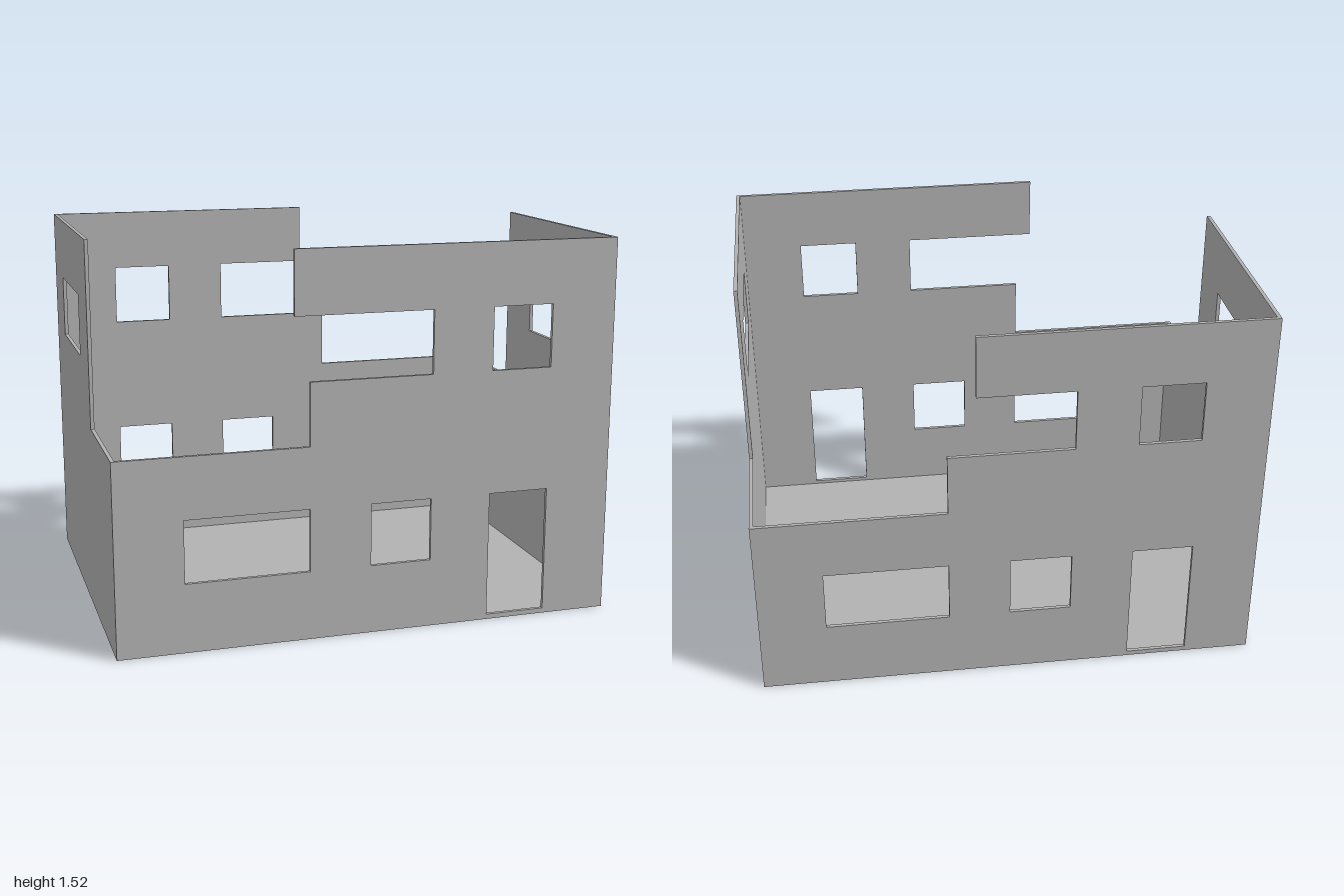
import * as THREE from 'three';

const T = 0.015;            // wall thickness
const BASE = 0.005;         // floor slab thickness
const LOW = 0.77, SILL = 1.02, HEAD = 1.27, TOP = 1.52;
const W = 1, D = 0.75;      // half width and half depth

const grey = new THREE.MeshStandardMaterial({ color: 0xb2b2b2 });
grey.name = 'plaster grey';

// Flat wall panel from an outline and rectangular openings [x0, y0, x1, y1]
function panel(outline, openings) {
  const toPoints = (list) => list.map(([x, y]) => new THREE.Vector2(x, y));
  const shape = new THREE.Shape(toPoints(outline));
  for (const [x0, y0, x1, y1] of openings) {
    shape.holes.push(new THREE.Path(toPoints([[x0, y0], [x0, y1], [x1, y1], [x1, y0]])));
  }
  return new THREE.ExtrudeGeometry(shape, { depth: T, bevelEnabled: false });
}

// One long wall with the side wall that joins it at +x
function wallPair(name, stripEnd) {
  const pair = new THREE.Group();
  pair.name = name + 'Half';

  // Long wall: low at -x, stepped sill, open-ended upper window under a strip
  const longGeo = panel(
    [[-W, BASE], [W, BASE], [W, TOP], [stripEnd, TOP], [stripEnd, HEAD], [0.245, HEAD],
      [0.245, SILL], [-0.245, SILL], [-0.245, LOW], [-W, LOW]],
    [
      [-0.735, 0.275, -0.245, 0.525],   // wide window
      [0, 0.275, 0.245, 0.525],         // small window
      [0.49, 0.02, 0.735, 0.525],       // doorway
      [0.49, SILL, 0.735, HEAD],        // upper window
    ]
  );
  longGeo.translate(0, 0, D - T);
  const longWall = new THREE.Mesh(longGeo, grey);
  longWall.name = name + 'Wall';

  // Side wall: tall next to the long wall, low towards the far corner
  const e = D - T;
  const sideGeo = panel(
    [[-e, BASE], [e, BASE], [e, TOP], [-0.243, TOP], [-0.243, LOW], [-e, LOW]],
    [[0, SILL, 0.495, HEAD]]
  );
  sideGeo.rotateY(-Math.PI / 2);
  sideGeo.translate(W, 0, 0);
  const sideWall = new THREE.Mesh(sideGeo, grey);
  sideWall.name = name + 'SideWall';

  pair.add(longWall, sideWall);
  return pair;
}

export function createModel() {
  const house = new THREE.Group();
  house.name = 'houseShell';

  // Floor slab
  const floor = new THREE.Mesh(new THREE.BoxGeometry(2 * W, BASE, 2 * D), grey);
  floor.name = 'floor';
  floor.position.y = BASE / 2;

  // The back half is the front half turned around, with a shorter strip
  const front = wallPair('front', -0.305);
  const back = wallPair('back', -0.135);
  back.rotation.y = Math.PI;

  house.add(floor, front, back);
  return house;
}
